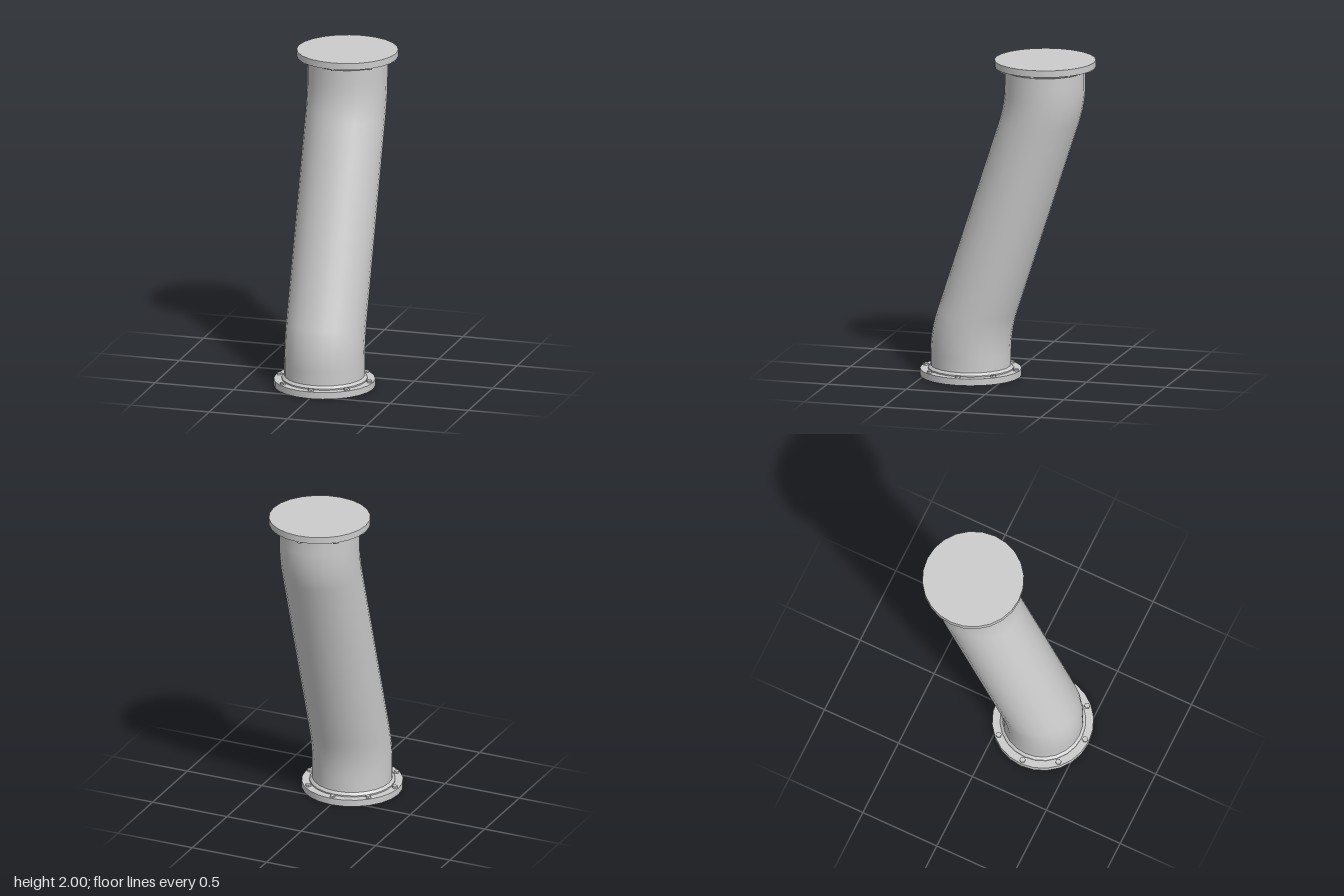
import * as THREE from 'three';
import { mergeVertices, toCreasedNormals } from 'three/addons/utils/BufferGeometryUtils.js';

const SIDES = 24;
const OFFSET = 0.236; // z of the lower flange; the upper one mirrors it
const material = new THREE.MeshStandardMaterial({ color: 0xcccccc });
const flatMaterial = new THREE.MeshStandardMaterial({ color: 0xcccccc, flatShading: true });

function addMesh(parent, name, geometry, mat = material) {
  const mesh = new THREE.Mesh(geometry, mat);
  mesh.name = name;
  parent.add(mesh);
  return mesh;
}

// Centre line of the lower bend as [z, y] pairs; the upper bend is its half-turn copy
function centreLine() {
  const bend = new THREE.QuadraticBezierCurve(
    new THREE.Vector2(OFFSET, 0.15),
    new THREE.Vector2(OFFSET, 0.275),
    new THREE.Vector2(OFFSET * 0.83, 0.398)
  ).getPoints(6);
  const lower = [new THREE.Vector2(OFFSET, 0.03), ...bend];
  const upper = lower.map(p => new THREE.Vector2(-p.x, 2 - p.y)).reverse();
  return [...lower, ...upper];
}

// Pipe: horizontal circular sections shifted along the centre line
function pipeGeometry() {
  const line = centreLine();
  const rows = line.length - 1;
  let geometry = new THREE.CylinderGeometry(0.246, 0.246, 1, SIDES, rows, true);
  const pos = geometry.attributes.position;
  for (let i = 0; i < pos.count; i++) {
    const p = line[Math.round((pos.getY(i) + 0.5) * rows)];
    pos.setY(i, p.y);
    pos.setZ(i, pos.getZ(i) + p.x);
  }
  geometry.deleteAttribute('uv');
  geometry.deleteAttribute('normal');
  geometry = mergeVertices(geometry);
  geometry.computeVertexNormals();
  return geometry;
}

// Flange with weld collar and a ring of eight hexagonal bolts
function makeEnd(name) {
  const end = new THREE.Group();
  end.name = name;

  addMesh(end, 'flange', new THREE.CylinderGeometry(0.31, 0.31, 0.042, SIDES))
    .position.set(0, 0.021, OFFSET);

  const profile = [[0.262, 0.04], [0.262, 0.05], [0.245, 0.066]]
    .map(([r, y]) => new THREE.Vector2(r, y));
  addMesh(end, 'collar', toCreasedNormals(new THREE.LatheGeometry(profile, SIDES), 0.5))
    .position.z = OFFSET;

  const boltGeometry = new THREE.CylinderGeometry(0.018, 0.018, 0.016, 6).rotateY(Math.PI / 6);
  for (let i = 0; i < 8; i++) {
    const a = (i * Math.PI) / 4;
    addMesh(end, 'bolt', boltGeometry, flatMaterial)
      .position.set(0.286 * Math.sin(a), 0.046, OFFSET + 0.286 * Math.cos(a));
  }
  return end;
}

export function createModel() {
  const model = new THREE.Group();
  model.name = 'offsetPipe';
  addMesh(model, 'pipe', pipeGeometry());
  model.add(makeEnd('lowerEnd'));

  // Upper end is the lower one given a half turn about the pipe's middle
  const upper = makeEnd('upperEnd');
  upper.rotation.x = Math.PI;
  upper.position.y = 2;
  model.add(upper);
  return model;
}
